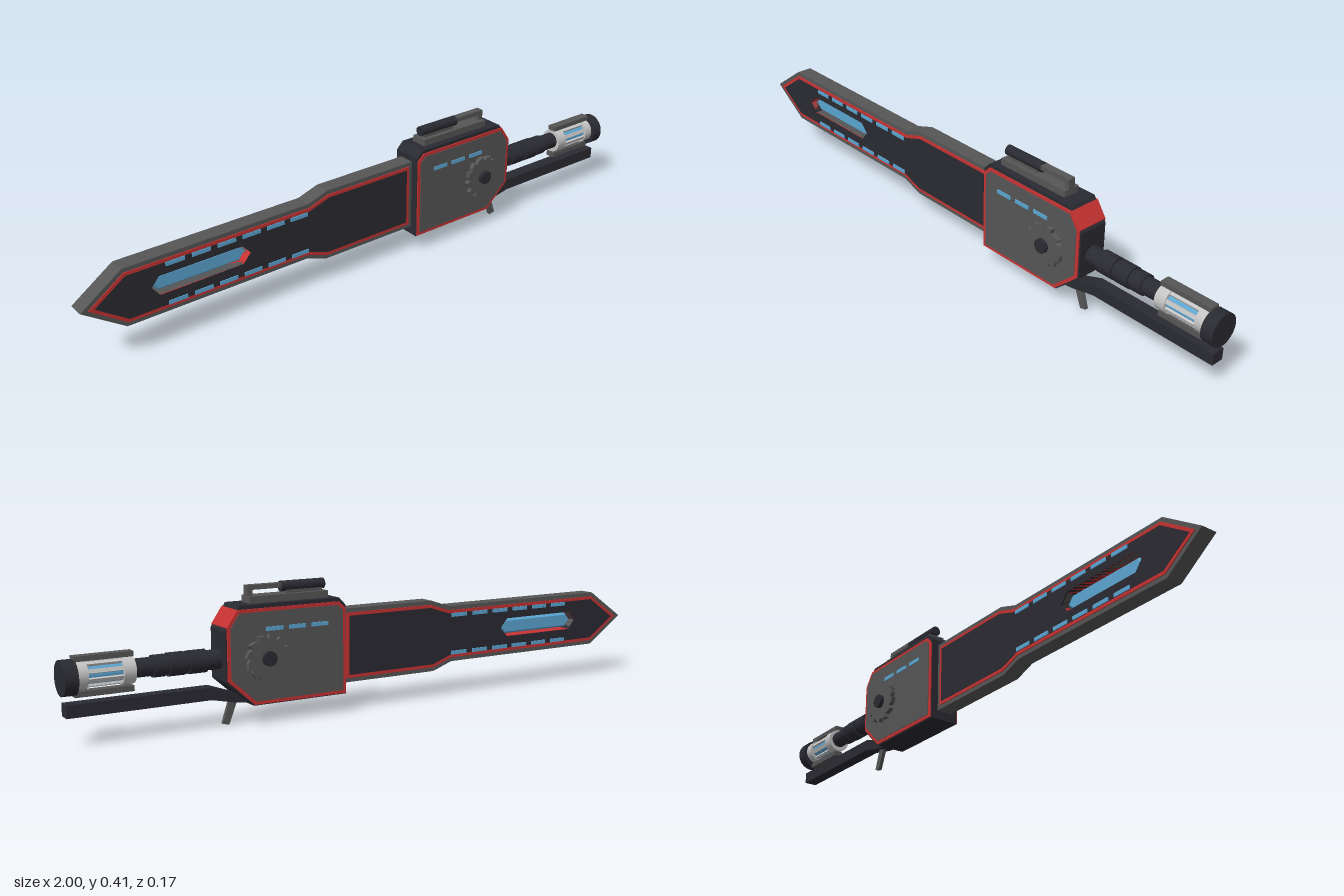
import * as THREE from 'three';

const mat = (name, color) => new THREE.MeshStandardMaterial({ name, color });

export function createModel() {
  const root = new THREE.Group();
  root.name = 'chainSword';
  const grey = mat('steelGrey', 0x565656);
  const dark = mat('darkMetal', 0x2a2a32);
  const red = mat('redTrim', 0xc83232);
  const blue = mat('blueGlow', 0x5ba6d2);
  const white = mat('paleMetal', 0xc4c4c4);

  const add = (name, geometry, material, x = 0, y = 0, z = 0, parent = root) => {
    const mesh = new THREE.Mesh(geometry, material);
    mesh.name = name;
    mesh.position.set(x, y, z);
    parent.add(mesh);
    return mesh;
  };
  const box = (name, material, x0, x1, y0, y1, halfZ, z = 0) =>
    add(name, new THREE.BoxGeometry(x1 - x0, y1 - y0, 2 * halfZ), material, (x0 + x1) / 2, (y0 + y1) / 2, z);
  const rodX = (name, material, x0, x1, y, r, sides = 24) => {
    const g = new THREE.CylinderGeometry(r, r, x1 - x0, sides).rotateZ(-Math.PI / 2);
    return add(name, g, material, (x0 + x1) / 2, y, 0);
  };

  // Move every edge of a counter-clockwise outline inward by d
  const inset = (pts, d) => pts.map((p, i) => {
    const a = pts[(i + pts.length - 1) % pts.length], b = pts[(i + 1) % pts.length];
    const l1 = Math.hypot(p[0] - a[0], p[1] - a[1]), l2 = Math.hypot(b[0] - p[0], b[1] - p[1]);
    const n1 = [-(p[1] - a[1]) / l1, (p[0] - a[0]) / l1];
    const n2 = [-(b[1] - p[1]) / l2, (b[0] - p[0]) / l2];
    const k = d / (1 + n1[0] * n2[0] + n1[1] * n2[1]);
    return [p[0] + (n1[0] + n2[0]) * k, p[1] + (n1[1] + n2[1]) * k];
  });
  const vec = (pts) => pts.map(([x, y]) => new THREE.Vector2(x, y));
  // Slab centred on z = 0
  const slab = (name, material, pts, halfZ, hole, bevel = 0) => {
    const shape = new THREE.Shape(vec(pts));
    if (hole) shape.holes.push(new THREE.Path(vec(hole)));
    const g = new THREE.ExtrudeGeometry(shape, {
      depth: 2 * (halfZ - bevel), bevelEnabled: bevel > 0, bevelSize: bevel,
      bevelThickness: bevel, bevelOffset: -bevel, bevelSegments: 1,
    });
    return add(name, g.translate(0, 0, bevel - halfZ), material);
  };

  // Blade: grey edge, red line and dark face, pierced by a slot
  const blade = [
    [-1, 0.2], [-0.87, 0.11], [-0.27, 0.11], [-0.2, 0.085], [0.138, 0.085],
    [0.138, 0.314], [-0.19, 0.314], [-0.26, 0.291], [-0.87, 0.291],
  ];
  const slot = [
    [-0.79, 0.202], [-0.765, 0.172], [-0.495, 0.172],
    [-0.468, 0.202], [-0.495, 0.232], [-0.765, 0.232],
  ];
  slab('bladeEdge', grey, blade, 0.026, slot);
  slab('bladeTrim', red, inset(blade, 0.013), 0.029, slot);
  slab('bladeFace', dark, inset(blade, 0.023), 0.03, slot);
  slab('bladeCrystal', blue, inset(slot, 0.006), 0.014, null, 0.006);

  // Glowing dashes on both sides of blade and body
  const dash = (name, x, y, length, z) => {
    for (const side of [1, -1]) box(name, blue, x, x + length, y - 0.006, y + 0.006, 0.002, side * z);
  };
  for (let i = 0; i < 6; i++) {
    for (const y of [0.262, 0.139]) dash('bladeDash', -0.742 + i * 0.083, y, 0.06, 0.031);
  }
  for (let i = 0; i < 3; i++) dash('bodyDash', 0.205 + i * 0.075, 0.281, 0.055, 0.056);

  // Engine body
  const body = [
    [0.14, 0.057], [0.45, 0.057], [0.537, 0.135], [0.537, 0.284],
    [0.49, 0.353], [0.162, 0.353], [0.14, 0.33],
  ];
  const panel = [
    [0.142, 0.06], [0.448, 0.06], [0.532, 0.137], [0.532, 0.294],
    [0.499, 0.342], [0.165, 0.342], [0.142, 0.32],
  ];
  slab('bodyShell', dark, body, 0.049);
  slab('bodyTrim', red, panel, 0.053);
  slab('bodyPanel', grey, inset(panel, 0.01), 0.055);

  // Saw gears with hubs on both sides
  const teeth = [];
  for (let i = 0; i < 12; i++) {
    const a = (i / 12) * Math.PI * 2;
    for (const [da, r] of [[0, 0.058], [0.08, 0.071], [0.34, 0.066]]) {
      teeth.push([0.41 + r * Math.cos(a + da), 0.197 + r * Math.sin(a + da)]);
    }
  }
  slab('gear', grey, teeth, 0.07);
  add('gearHub', new THREE.CylinderGeometry(0.022, 0.022, 0.166, 16).rotateX(Math.PI / 2), dark, 0.41, 0.197, 0);

  // Top carrying rail
  box('railBase', grey, 0.187, 0.447, 0.352, 0.374, 0.027);
  box('railFrontPost', grey, 0.2, 0.32, 0.374, 0.385, 0.012);
  box('railRearPost', grey, 0.43, 0.447, 0.374, 0.405, 0.012);
  box('railBar', grey, 0.32, 0.447, 0.391, 0.405, 0.012);
  rodX('railGrip', dark, 0.19, 0.335, 0.394, 0.016, 16);

  // Ribbed grip: [start, end, radius]
  for (const [a, b, r] of [
    [0.53, 0.58, 0.029], [0.58, 0.635, 0.034], [0.635, 0.645, 0.028],
    [0.645, 0.695, 0.034], [0.695, 0.705, 0.028], [0.705, 0.74, 0.032], [0.74, 0.8, 0.027],
  ]) rodX('gripSegment', dark, a, b, 0.197, r);

  // Power cell with pale cage, guard strips and pommel
  rodX('cellCore', blue, 0.81, 0.955, 0.195, 0.029);
  rodX('cellFrontCollar', white, 0.797, 0.832, 0.195, 0.039);
  rodX('cellRearCollar', white, 0.932, 0.962, 0.195, 0.039);
  for (let i = 0; i < 8; i++) {
    const a = ((i + 0.5) / 8) * Math.PI * 2;
    const bar = add('cellBar', new THREE.BoxGeometry(0.11, 0.009, 0.012), white,
      0.882, 0.195 + 0.031 * Math.cos(a), 0.031 * Math.sin(a));
    bar.rotation.x = a;
  }
  box('upperGuardStrip', grey, 0.797, 0.965, 0.234, 0.249, 0.015);
  box('lowerGuardStrip', grey, 0.797, 0.965, 0.136, 0.152, 0.015);
  rodX('pommel', dark, 0.962, 1, 0.191, 0.05, 32);

  // Hand guard bar and trigger
  slab('handGuard', dark, [
    [0.44, 0.06], [0.49, 0.066], [0.57, 0.083], [0.992, 0.083],
    [0.992, 0.12], [0.565, 0.12], [0.48, 0.09],
  ], 0.021);
  slab('trigger', grey, [[0.51, 0], [0.53, 0.004], [0.508, 0.072], [0.484, 0.066]], 0.006);

  return root;
}
